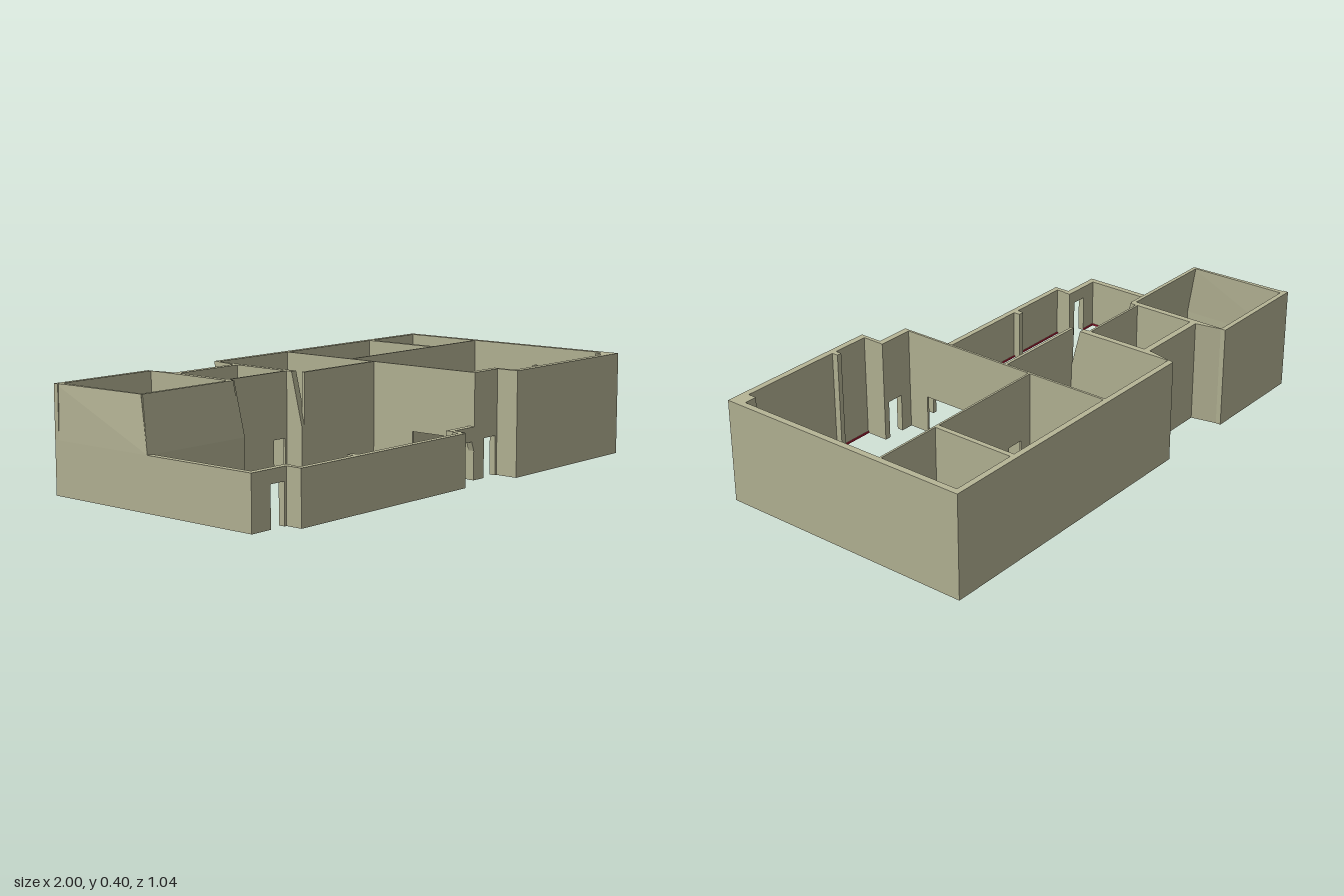
import * as THREE from 'three';
import { ConvexGeometry } from 'three/addons/geometries/ConvexGeometry.js';

const stone = new THREE.MeshStandardMaterial({ color: 0xb6b596, flatShading: true });
const red = new THREE.MeshStandardMaterial({ color: 0xb02038 });
const FULL = 0.4, LOW = 0.2, T = 0.025;

export function createModel() {
  const house = new THREE.Group();
  house.name = 'house';

  const add = (name, geometry, material = stone) => {
    const mesh = new THREE.Mesh(geometry, material);
    mesh.name = name;
    house.add(mesh);
  };

  // Straight wall along x or z, from a to b, between c0 and c1 across.
  // Each doorway is a list of [along, y] corners starting and ending on the ground.
  const wall = (name, axis, a, b, c0, c1, h, doors = []) => {
    const s = new THREE.Shape();
    s.moveTo(a, 0);
    doors.forEach(d => d.forEach(p => s.lineTo(...p)));
    s.lineTo(b, 0);
    s.lineTo(b, h);
    s.lineTo(a, h);
    const g = new THREE.ExtrudeGeometry(s, { depth: c1 - c0, bevelEnabled: false });
    if (axis === 'x') g.translate(0, 0, c0);
    else g.rotateY(-Math.PI / 2).translate(c1, 0, 0);
    add(name, g);
  };
  const door = (a, b, h = 0.15) => [[a, 0], [a, h], [b, h], [b, 0]];

  // Slanted block between a lower and an upper outline of [x, z] corners
  const block = (name, low, y0, high, y1) => add(name, new ConvexGeometry([
    ...low.map(([x, z]) => new THREE.Vector3(x, y0, z)),
    ...high.map(([x, z]) => new THREE.Vector3(x, y1, z)),
  ]));
  const rect = (x0, x1, z0, z1) => [[x0, z0], [x1, z0], [x1, z1], [x0, z1]];

  // Outer walls, right part of the house
  wall('rightOuterWall', 'z', -0.52, 0.52, 1 - T, 1, FULL);
  wall('backOuterWall', 'x', -0.205, 1, -0.52, -0.497, FULL);
  wall('frontRightWall', 'x', 0.32, 1, 0.495, 0.52, FULL);
  wall('frontRightReturn', 'z', 0.405, 0.52, 0.32, 0.335, FULL);
  wall('entranceWall', 'x', 0.18, 0.335, 0.405, 0.43, FULL, [door(0.24, 0.31)]);
  wall('cornerPillar', 'x', 0.925, 0.98, 0.46, 0.5, FULL);
  wall('frontPillar', 'x', 0.485, 0.505, 0.47, 0.5, FULL);

  // Inner partitions
  wall('hallPartition', 'z', -0.5, 0.42, 0.18, 0.189, FULL, [door(0.14, 0.32)]);
  wall('backRoomPartition', 'x', 0.185, 0.98, -0.173, -0.165, FULL, [door(0.24, 0.31)]);
  wall('smallRoomPartition', 'z', -0.5, -0.17, 0.685, 0.705, FULL);
  wall('middleRoomWall', 'x', -0.215, 0.185, -0.062, -0.05, FULL);

  // Low front walls of the hall
  wall('hallLeftWall', 'z', -0.06, 0.43, -1, -1 + T, LOW);
  wall('hallFrontLeftWall', 'x', -1, -0.812, 0.405, 0.43, LOW, [door(-0.91, -0.845)]);
  wall('hallFrontReturn', 'z', 0.405, 0.495, -0.835, -0.815, LOW);
  wall('hallFrontWall', 'x', -0.835, 0.04, 0.472, 0.495, LOW);
  wall('hallPillar', 'x', -0.55, -0.525, 0.445, 0.475, LOW);
  wall('porchStep', 'z', 0.445, 0.495, 0.03, 0.043, LOW);
  wall('porchReturn', 'z', 0.405, 0.475, 0.043, 0.06, LOW);
  wall('porchWall', 'x', 0.05, 0.185, 0.405, 0.43, LOW,
    [[[0.06, 0], [0.06, 0.11], [0.09, 0.145], [0.165, 0.145], [0.178, 0.11], [0.178, 0]]]);

  // Recess at the back with splayed sides
  wall('recessBackWall', 'x', -0.55, -0.21, -0.4, -0.375, FULL);
  wall('recessFrontWall', 'x', -0.535, -0.225, -0.133, -0.124, FULL, [door(-0.3, -0.24)]);
  const leftSplay = [[-0.555, -0.52], [-0.53, -0.4], [-0.555, -0.4]];
  const rightSplay = [[-0.205, -0.52], [-0.23, -0.4], [-0.205, -0.4]];
  block('leftSplay', leftSplay, 0, leftSplay, FULL);
  block('rightSplay', rightSplay, 0, rightSplay, FULL);

  // Side walls of the recess, leaning back at their upper front end
  [['recessLeftWall', -0.555, -0.53], ['recessRightWall', -0.23, -0.205]].forEach(([name, x0, x1]) => {
    wall(name, 'z', -0.4, -0.05, x0, x1, LOW);
    block(name + 'Upper', rect(x0, x1, -0.4, -0.05), LOW, rect(x0, x1, -0.4, -0.1), FULL);
  });

  // Left back room: upper half leans back at the front and in at the left
  wall('leftRoomBackWall', 'x', -1, -0.55, -0.52, -0.5, FULL);
  wall('leftRoomSideWall', 'z', -0.52, -0.05, -1, -1 + T, LOW);
  block('leftRoomSideWallUpper', rect(-1, -0.975, -0.52, -0.05), LOW,
    [[-0.995, -0.52], [-0.975, -0.52], [-0.968, -0.1], [-0.978, -0.1]], FULL);
  wall('leftRoomFrontWall', 'x', -1, -0.54, -0.075, -0.05, LOW);
  block('leftRoomFrontWallUpper', rect(-1, -0.54, -0.075, -0.05), LOW,
    rect(-0.975, -0.54, -0.11, -0.095), FULL);

  // Red strips along the foot of the inner walls: [x0, x1, z0, z1]
  const e = 0.004;
  [
    [-0.975, -0.53, -0.05, -0.05 + e], [-0.2, 0.18, -0.05, -0.05 + e],
    [-0.53, -0.3, -0.124, -0.124 + e], [-0.975, -0.975 + e, -0.05, 0.405],
    [-0.975, -0.91, 0.405 - e, 0.405], [-0.815, 0.03, 0.472 - e, 0.472],
    [0.18 - e, 0.18, -0.05, 0.14], [0.189, 0.189 + e, -0.165, 0.14],
    [0.31, 0.975, -0.165, -0.165 + e], [0.335, 0.925, 0.495 - e, 0.495],
    [0.975 - e, 0.975, -0.165, 0.46], [-0.205, 0.18, -0.062 - e, -0.062],
    [0.18 - e, 0.18, -0.497, -0.062], [-0.205, -0.205 + e, -0.497, -0.062],
  ].forEach(([x0, x1, z0, z1]) => add('skirting',
    new THREE.BoxGeometry(x1 - x0, 0.007, z1 - z0)
      .translate((x0 + x1) / 2, 0.0035, (z0 + z1) / 2), red));

  return house;
}
